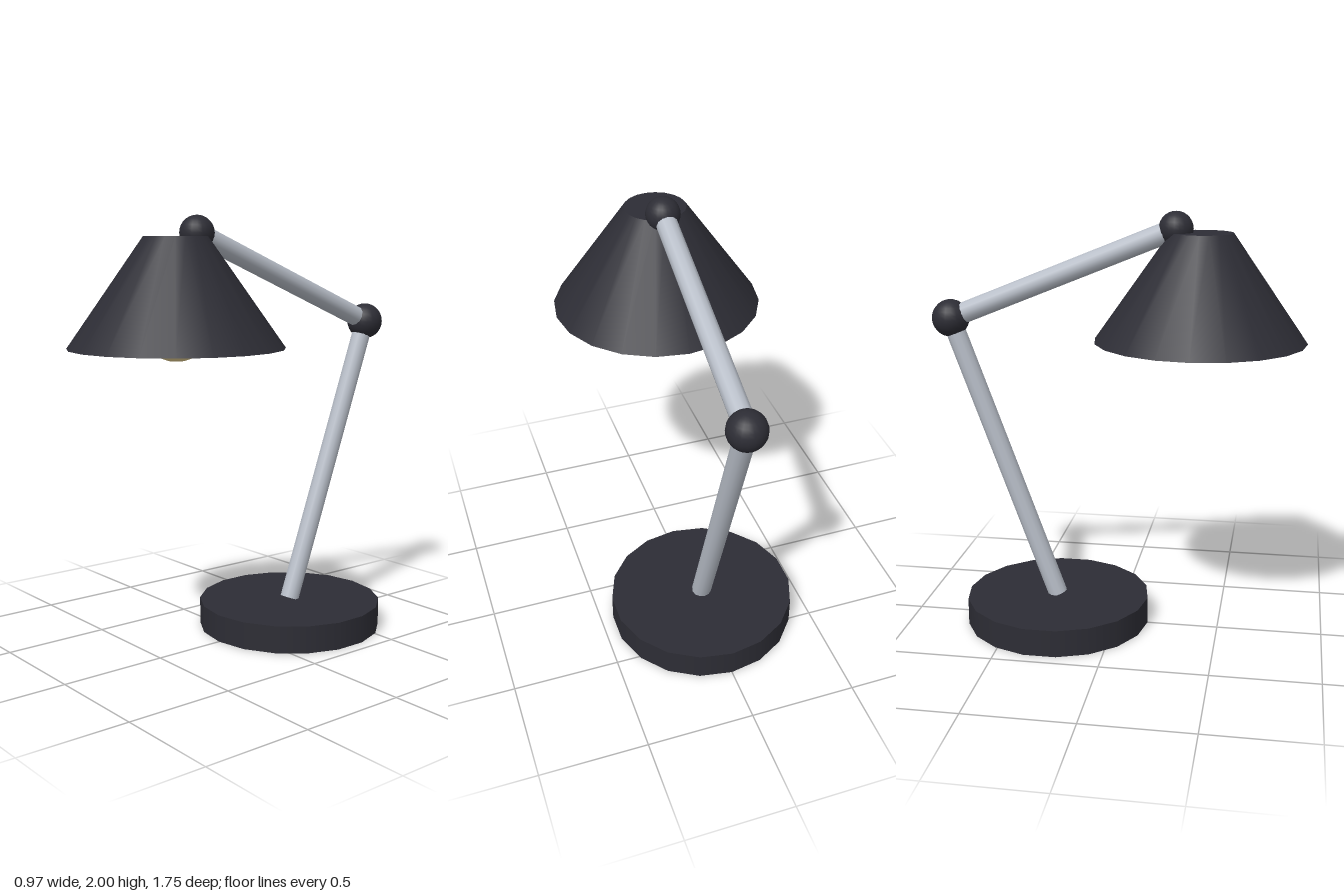
import * as THREE from 'three';

function material(name, color) {
  const m = new THREE.MeshStandardMaterial({ color });
  m.name = name;
  return m;
}

export function createModel() {
  const dark = material('dark enamel', 0x2d2d35);
  const metal = material('brushed metal', 0xb8bec8);
  const glow = material('warm bulb', 0xffe6a0);

  const lamp = new THREE.Group();
  lamp.name = 'deskLamp';

  function add(name, geometry, mat, position) {
    const mesh = new THREE.Mesh(geometry, mat);
    mesh.name = name;
    mesh.position.copy(position);
    lamp.add(mesh);
    return mesh;
  }

  // Round rod running between two points
  function addArm(name, from, to, radius) {
    const along = to.clone().sub(from);
    const rod = add(name, new THREE.CylinderGeometry(radius, radius, along.length(), 12),
      metal, from.clone().add(to).multiplyScalar(0.5));
    rod.quaternion.setFromUnitVectors(new THREE.Vector3(0, 1, 0), along.normalize());
  }

  const foot = new THREE.Vector3(0, 0.13, -0.29);
  const elbow = new THREE.Vector3(0, 1.49, -0.788);
  const head = new THREE.Vector3(0, 1.921, 0.273);

  // Base disc
  add('base', new THREE.CylinderGeometry(0.445, 0.445, 0.13, 18), dark,
    new THREE.Vector3(0, 0.065, -0.287));

  // Arms and ball joints
  addArm('lowerArm', foot, elbow, 0.047);
  addArm('upperArm', elbow, head, 0.049);
  add('elbowJoint', new THREE.SphereGeometry(0.088, 20, 14), dark, elbow);
  add('headJoint', new THREE.SphereGeometry(0.079, 20, 14), dark, head);

  // Closed conical shade with the bulb showing below it
  add('shade', new THREE.CylinderGeometry(0.143, 0.487, 0.49, 20), dark,
    new THREE.Vector3(0, 1.66, 0.39));
  add('bulb', new THREE.SphereGeometry(0.176, 20, 14), glow,
    new THREE.Vector3(0, 1.531, 0.39));

  return lamp;
}
